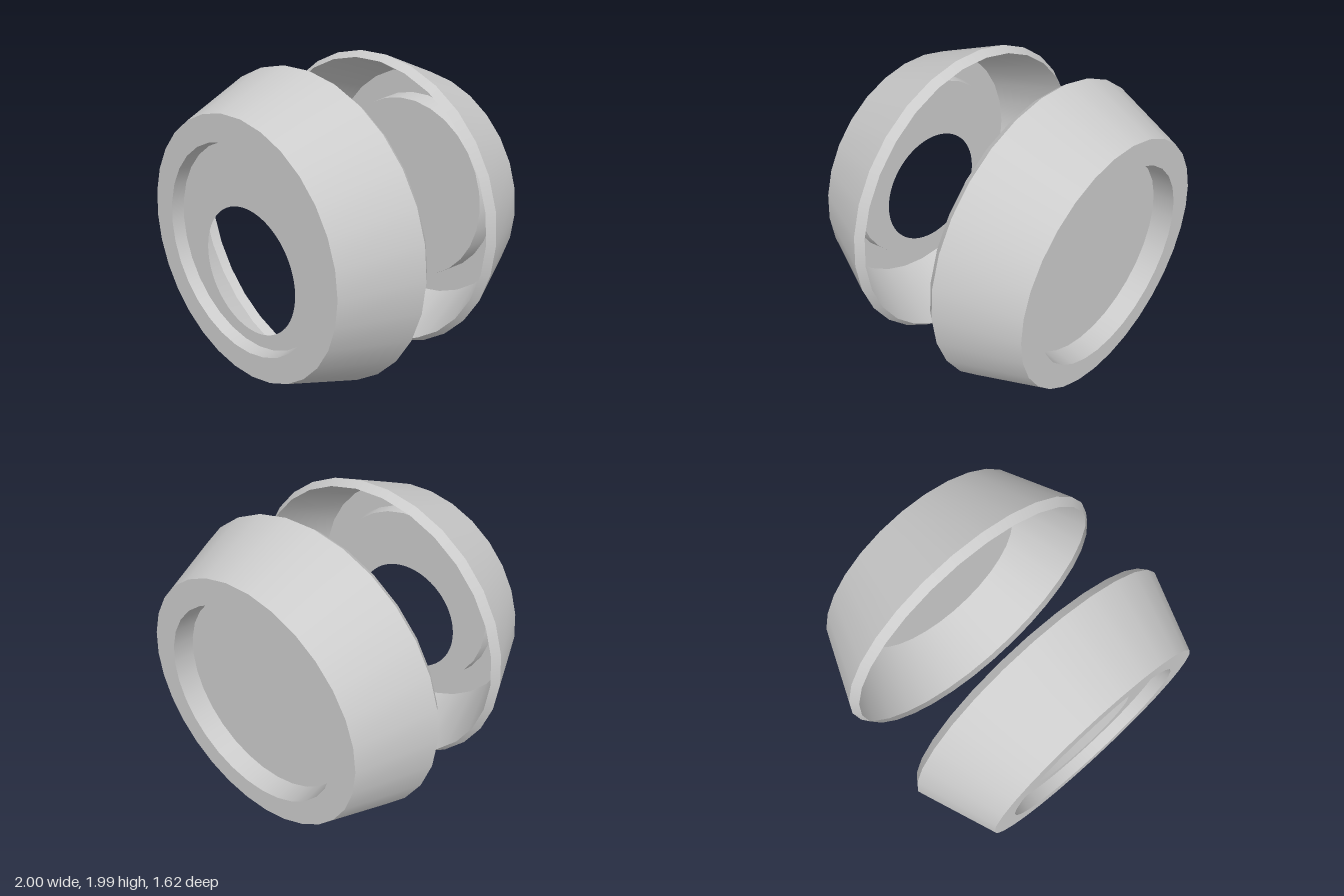
import * as THREE from 'three';

const SIDES = 30;
const material = new THREE.MeshStandardMaterial({ color: 0xcccccc, side: THREE.DoubleSide });

// One ring of the shell between two [radius, z] points, revolved about z
function band(name, from, to) {
  const points = [new THREE.Vector2(...from), new THREE.Vector2(...to)];
  const geometry = new THREE.LatheGeometry(points, SIDES, Math.PI / 2);
  geometry.rotateX(Math.PI / 2);
  const mesh = new THREE.Mesh(geometry, material);
  mesh.name = name;
  return mesh;
}

function circlePoints(radius, count, cy = 0) {
  return Array.from({ length: count }, (_, i) => {
    const a = (i / count) * Math.PI * 2;
    return new THREE.Vector2(radius * Math.cos(a), cy + radius * Math.sin(a));
  });
}

// Thin-walled tapered cup, open towards the middle, with a sunken end plate
function createCup(name, depth, hasOpening) {
  const cup = new THREE.Group();
  cup.name = name;
  const plateZ = 0.81 - depth;
  const plateRadius = 0.638;

  cup.add(
    band('rimChamfer', [0.963, 0.275], [1, 0.325]),
    band('taperedWall', [1, 0.325], [0.812, 0.81]),
    band('endRing', [0.812, 0.81], [0.65, 0.81]),
    band('recessWall', [0.65, 0.81], [plateRadius, plateZ])
  );

  const shape = new THREE.Shape(circlePoints(plateRadius, SIDES));
  // Round off-centre opening
  if (hasOpening) shape.holes.push(new THREE.Path(circlePoints(0.4, 64, -0.152)));
  const plate = new THREE.Mesh(new THREE.ShapeGeometry(shape), material);
  plate.name = 'endPlate';
  plate.position.z = plateZ;
  cup.add(plate);

  cup.position.y = 0.996;
  return cup;
}

export function createModel() {
  const model = new THREE.Group();
  model.name = 'cupPair';
  const front = createCup('frontCup', 0.08, true);
  const back = createCup('backCup', 0.14, false);
  back.rotation.y = Math.PI;
  model.add(front, back);
  return model;
}
